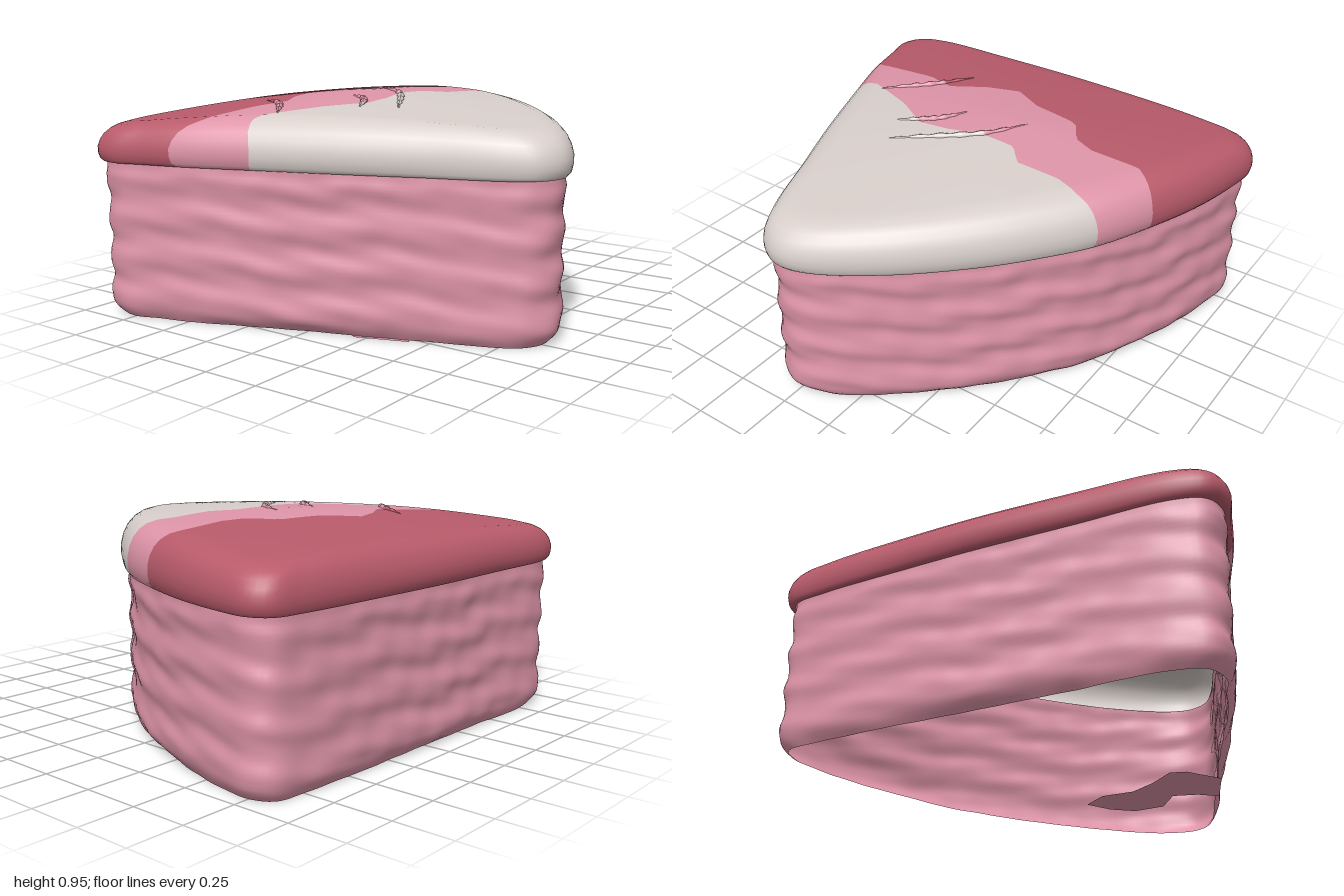
import * as THREE from 'three';

const N = 240;                       // samples around the outline
const CENTRE = [-0.3, 0.05];
const SEAM = 0.69;                   // height where sponge meets icing

const mat = (name, color) => {
  const m = new THREE.MeshStandardMaterial({ color, side: THREE.DoubleSide });
  m.name = name;
  return m;
};

// Rounded wedge footprint (x, z): flat left side, cut front side, curved back
const OUTLINE = [
  [-0.96, 0], [-0.955, 0.45], [-0.945, 0.85], [-0.9, 0.965], [-0.8, 1], [-0.66, 0.965], [-0.45, 0.91],
  [-0.2, 0.82], [0.2, 0.67], [0.5, 0.545], [0.8, 0.425], [0.91, 0.355], [0.955, 0.25], [0.925, 0.12],
  [0.75, -0.15], [0.5, -0.42], [0.3, -0.59], [0.1, -0.73], [-0.15, -0.845], [-0.4, -0.935],
  [-0.65, -0.99], [-0.8, -1], [-0.88, -0.95], [-0.91, -0.8], [-0.94, -0.4]];

// Colour borders on the icing as (z, x) points
const RED_EDGE = [[-0.84, -0.14], [-0.72, -0.22], [-0.5, -0.21], [-0.4, -0.25], [-0.33, -0.37], [-0.1, -0.41],
  [0.05, -0.5], [0.2, -0.45], [0.35, -0.36], [0.5, -0.41], [0.8, -0.41], [0.93, -0.51]];
const WHITE_EDGE = [[-0.73, 0.11], [-0.62, 0.1], [-0.5, 0.06], [-0.3, 0.06], [-0.22, -0.03], [-0.05, -0.04],
  [0.1, 0], [0.25, 0.01], [0.42, -0.1], [0.6, -0.18], [0.7, -0.22], [0.78, -0.2], [0.83, -0.15]];

function edgeAt(edge, z) {
  if (z <= edge[0][0]) return edge[0][1];
  for (let i = 1; i < edge.length; i++) {
    const [z0, x0] = edge[i - 1], [z1, x1] = edge[i];
    if (z <= z1) return x0 + (x1 - x0) * (z - z0) / (z1 - z0);
  }
  return edge[edge.length - 1][1];
}

// Gentle dome of the icing
function domeY(x, z) {
  const dx = x + 0.2;
  return 0.952 - 0.065 * Math.pow(Math.hypot(dx < 0 ? dx / 0.65 : dx, z + 0.1), 1.3);
}

// Closed rings of N points joined into a skin
function skin(rings) {
  const pos = [], idx = [];
  rings.forEach(r => r.forEach(p => pos.push(...p)));
  for (let j = 0; j < rings.length - 1; j++) {
    for (let i = 0; i < N; i++) {
      const a = j * N + i, b = j * N + (i + 1) % N;
      idx.push(a, b, b + N, a, b + N, a + N);
    }
  }
  const g = new THREE.BufferGeometry();
  g.setAttribute('position', new THREE.Float32BufferAttribute(pos, 3));
  g.setIndex(idx);
  g.computeVertexNormals();
  return g;
}

// Triangles as corner lists [x, y, z, nx, ny, nz]
function toTriangles(g) {
  const p = g.attributes.position, n = g.attributes.normal, out = [];
  const corner = i => [p.getX(i), p.getY(i), p.getZ(i), n.getX(i), n.getY(i), n.getZ(i)];
  for (let i = 0; i < g.index.count; i += 3) out.push([0, 1, 2].map(k => corner(g.index.getX(i + k))));
  return out;
}

// Cuts triangles along a colour border and keeps one side (+1 is towards +x)
function cut(tris, edge, sign) {
  const out = [];
  for (const t of tris) {
    const d = t.map(v => sign * (v[0] - edgeAt(edge, v[2])));
    const poly = [];
    for (let i = 0; i < 3; i++) {
      const j = (i + 1) % 3;
      if (d[i] >= 0) poly.push(t[i]);
      if ((d[i] >= 0) !== (d[j] >= 0)) {
        const k = d[i] / (d[i] - d[j]);
        poly.push(t[i].map((v, c) => v + (t[j][c] - v) * k));
      }
    }
    for (let i = 2; i < poly.length; i++) out.push([poly[0], poly[i - 1], poly[i]]);
  }
  return out;
}

function fromTriangles(tris) {
  const g = new THREE.BufferGeometry(), v = tris.flat();
  g.setAttribute('position', new THREE.Float32BufferAttribute(v.flatMap(c => c.slice(0, 3)), 3));
  g.setAttribute('normal', new THREE.Float32BufferAttribute(v.flatMap(c => c.slice(3)), 3));
  return g;
}

export function createModel() {
  const group = new THREE.Group();
  const pink = mat('pink', 0xdf95a9), red = mat('red', 0xb95b6b), white = mat('white', 0xd9d0cc);
  const add = (name, geometry, material) => {
    const m = new THREE.Mesh(geometry, material);
    m.name = name;
    group.add(m);
  };

  const curve = new THREE.CatmullRomCurve3(OUTLINE.map(([x, z]) => new THREE.Vector3(x, 0, z)), true);
  const outline = curve.getSpacedPoints(N).slice(0, N);
  // Footprint point pulled towards the centre by a distance
  const pulled = (p, inset) => {
    const dx = p.x - CENTRE[0], dz = p.z - CENTRE[1], k = 1 - inset / Math.hypot(dx, dz);
    return [CENTRE[0] + dx * k, CENTRE[1] + dz * k];
  };

  // Sponge wall with wavy horizontal layers, open underneath
  const bodyRings = [];
  for (let j = 0; j <= 40; j++) {
    const y = 0.015 + (SEAM - 0.015) * j / 40;
    bodyRings.push(outline.map((p, i) => {
      const s = i / N * Math.PI * 2;
      const wob = 0.014 * Math.sin(7 * s + 1) + 0.01 * Math.sin(17 * s + y * 9);
      const layer = 0.007 * Math.cos((y + wob - 0.03) * Math.PI * 2 / 0.172);
      const lump = 0.003 * Math.sin(23 * s + 30 * y) * Math.sin(11 * s - 42 * y);
      const fade = Math.min(1, (SEAM - y) / 0.05);
      const foot = 0.035 * Math.pow(Math.max(0, 1 - (y - 0.015) / 0.06), 2);
      const [x, z] = pulled(p, 0.038 + (layer + lump) * fade + foot);
      return [x, y, z];
    }));
  }
  add('spongeWall', skin(bodyRings), pink);

  // Icing: rounded rim followed by the domed top
  const rim = [[0.038, 0], [0.02, 0.01], [0.007, 0.09], [0, 0.25], [0, 0.42], [0.01, 0.6], [0.028, 0.76],
    [0.055, 0.88], [0.09, 0.96], [0.14, 1]];
  const icingRings = rim.map(([inset, k]) => outline.map(p => {
    const [x, z] = pulled(p, inset);
    return [x, SEAM + (domeY(x, z) - SEAM) * k, z];
  }));
  for (let j = 1; j <= 22; j++) {
    icingRings.push(outline.map(p => {
      const [ex, ez] = pulled(p, 0.14), t = 1 - j / 22.01;
      const x = CENTRE[0] + (ex - CENTRE[0]) * t, z = CENTRE[1] + (ez - CENTRE[1]) * t;
      return [x, domeY(x, z), z];
    }));
  }
  const tris = toTriangles(skin(icingRings));

  // Three thin tapered creases lying across the icing
  const creases = [[-0.22, -0.17, -0.05, -0.06, 0.19, 0.28], [-0.17, 0.12, -0.06, 0.19, 0.04, 0.35],
    [-0.51, 0.32, -0.34, 0.43, -0.18, 0.62]];
  for (const [x0, z0, x1, z1, x2, z2] of creases) {
    const path = new THREE.CatmullRomCurve3([[x0, z0], [x1, z1], [x2, z2]]
      .map(([x, z]) => new THREE.Vector3(x, domeY(x, z), z)));
    const tube = new THREE.TubeGeometry(path, 32, 0.018, 8), p = tube.attributes.position;
    for (let i = 0; i <= 32; i++) {
      const c = path.getPointAt(i / 32), size = Math.sin(Math.PI * (0.04 + 0.92 * i / 32)) * (0.8 + 0.2 * Math.sin(i * 1.3));
      for (let k = 0; k <= 8; k++) {
        const v = new THREE.Vector3().fromBufferAttribute(p, i * 9 + k).sub(c).multiplyScalar(size).add(c);
        p.setXYZ(i * 9 + k, v.x, v.y, v.z);
      }
    }
    tube.computeVertexNormals();
    for (const t of toTriangles(tube)) tris.push(t);
  }

  // Icing split into its three colour bands
  const rest = cut(tris, RED_EDGE, 1);
  add('redIcing', fromTriangles(cut(tris, RED_EDGE, -1)), red);
  add('pinkIcing', fromTriangles(cut(rest, WHITE_EDGE, -1)), pink);
  add('whiteIcing', fromTriangles(cut(rest, WHITE_EDGE, 1)), white);

  // Ragged remnant of the base along the front edge
  const flap = new THREE.Shape([[0.28, -0.06], [0.39, 0.01], [0.46, 0.11], [0.45, 0.25], [0.33, 0.34], [0.36, 0.45],
    [0.42, 0.53], [0.2, 0.61], [0.06, 0.5], [0.04, 0.43], [0.13, 0.32], [0.2, 0.2], [0.2, 0.05]]
    .map(([x, z]) => new THREE.Vector2(x, z)));
  const base = new THREE.ShapeGeometry(flap);
  base.rotateX(Math.PI / 2);
  base.translate(0, 0.014, 0);
  add('baseRemnant', base, pink);
  return group;
}
